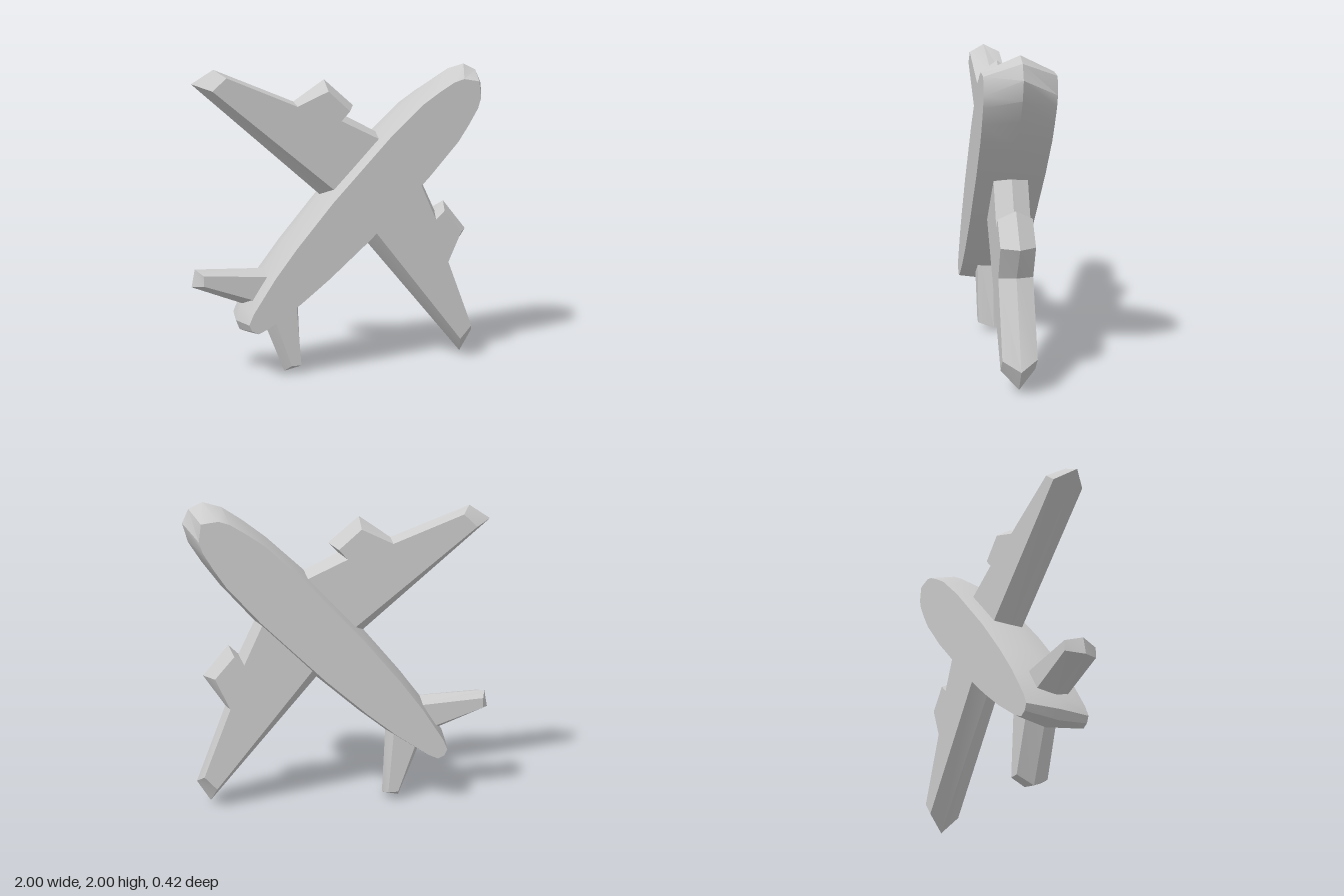
import * as THREE from 'three';
import { toCreasedNormals } from 'three/addons/utils/BufferGeometryUtils.js';

// Plate with flat faces at z = +-depth (inner outline) bulging to a ridge at z = 0 (outer outline)
function ridgedPlate(outer, inner, depth) {
  let o = outer.map(([x, y]) => new THREE.Vector2(x, y));
  let i = inner.map(([x, y]) => new THREE.Vector2(x, y));
  if (THREE.ShapeUtils.isClockWise(o)) {
    o = o.reverse();
    i = i.reverse();
  }
  const n = o.length;
  const pos = [];
  for (const [ring, z] of [[i, -depth], [o, 0], [i, depth]]) {
    for (const p of ring) pos.push(p.x, p.y, z);
  }
  const index = [];
  // Sloped sides
  for (let r = 0; r < 2; r++) {
    for (let k = 0; k < n; k++) {
      const a = r * n + k;
      const b = r * n + (k + 1) % n;
      index.push(a, b, b + n, a, b + n, a + n);
    }
  }
  // Flat faces
  for (const [a, b, c] of THREE.ShapeUtils.triangulateShape(i, [])) {
    index.push(2 * n + a, 2 * n + b, 2 * n + c, a, c, b);
  }
  const geo = new THREE.BufferGeometry();
  geo.setAttribute('position', new THREE.Float32BufferAttribute(pos, 3));
  geo.setIndex(index);
  return toCreasedNormals(geo, 0.5);
}

// Completes a half outline whose first and last points lie on the axis
const symmetric = (half) => [...half, ...half.slice(1, -1).reverse().map(([x, y]) => [-x, y])];
const flip = (pts, s) => pts.map(([x, y]) => [x * s, y]);

// Outlines are drawn with the nose towards +y
const fuselage = {
  outer: [[0, 1.354], [0.092, 1.32], [0.152, 1.214], [0.184, 1.067], [0.21, 0.885], [0.227, 0.564],
    [0.218, 0], [0.19, -0.362], [0.16, -0.6], [0.1, -0.87], [0.06, -0.952], [0, -0.978]],
  inner: [[0, 1.248], [0.087, 1.183], [0.12, 1.12], [0.15, 1.0], [0.175, 0.87], [0.19, 0.56],
    [0.178, 0], [0.15, -0.362], [0.12, -0.6], [0.07, -0.85], [0.043, -0.92], [0, -0.935]],
};
// Root leading edge, engine block, tip, root trailing edge
const wing = {
  outer: [[0.1, 0.608], [0.46, 0.485], [0.46, 0.575], [0.718, 0.553], [0.765, 0.31],
    [1.27, 0.088], [1.307, -0.073], [0.1, 0.018]],
  inner: [[0.1, 0.561], [0.472, 0.426], [0.475, 0.51], [0.667, 0.497], [0.745, 0.287],
    [1.193, 0.093], [1.198, -0.026], [0.1, 0.09]],
};
const tailplane = {
  outer: [[0.04, -0.476], [0.49, -0.89], [0.426, -0.985], [0.04, -0.817]],
  inner: [[0.04, -0.536], [0.447, -0.884], [0.4, -0.93], [0.04, -0.757]],
};

export function createModel() {
  const model = new THREE.Group();
  model.name = 'airplane';
  const material = new THREE.MeshStandardMaterial({ color: 0xcccccc });

  const add = (name, outer, inner, depth) => {
    const mesh = new THREE.Mesh(ridgedPlate(outer, inner, depth), material);
    mesh.name = name;
    body.add(mesh);
  };

  // Whole aircraft, banked so the nose points to the upper left
  const body = new THREE.Group();
  body.name = 'aircraftBody';
  body.rotation.z = -Math.PI / 4;
  body.position.y = 1;
  model.add(body);

  add('fuselage', symmetric(fuselage.outer), symmetric(fuselage.inner), 0.21);
  for (const [side, s] of [['left', 1], ['right', -1]]) {
    add(side + 'Wing', flip(wing.outer, s), flip(wing.inner, s), 0.105);
    add(side + 'Tailplane', flip(tailplane.outer, s), flip(tailplane.inner, s), 0.105);
  }
  return model;
}
